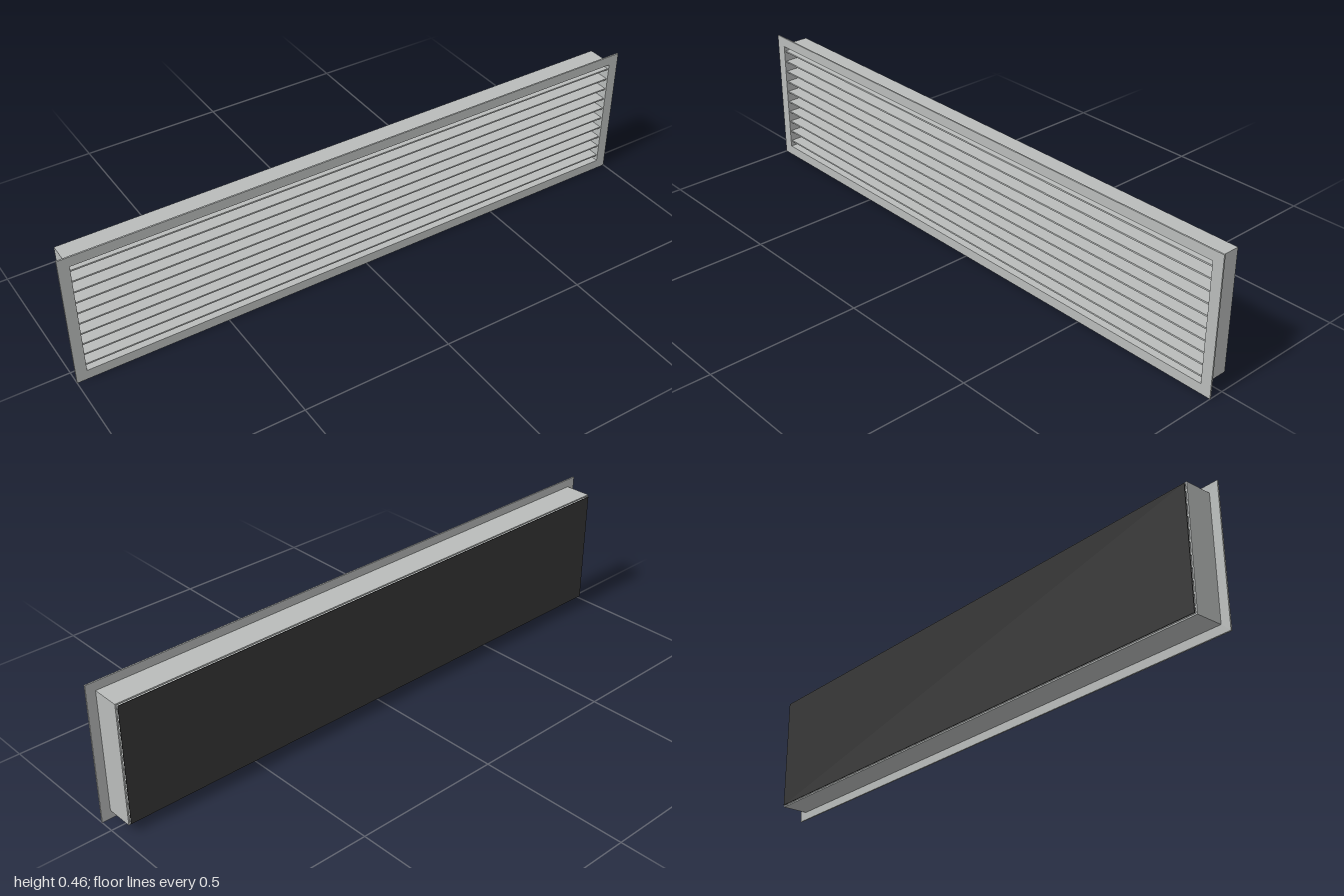
import * as THREE from 'three';

const HEIGHT = 0.457, MID = HEIGHT / 2;
const OUTER = { w: 1.94, h: 0.401 };   // duct outside
const INNER = { w: 1.93, h: 0.391 };   // duct opening
const FRONT = 0.051, FLANGE_BACK = 0.046, DUCT_BACK = -0.0455;
const SLATS = 10;

// Rectangular ring extruded from zBack to zFront
function ring(w, h, hole, zBack, zFront) {
  const rect = (T, a, b) => new T([
    new THREE.Vector2(-a / 2, -b / 2), new THREE.Vector2(a / 2, -b / 2),
    new THREE.Vector2(a / 2, b / 2), new THREE.Vector2(-a / 2, b / 2),
  ]);
  const shape = rect(THREE.Shape, w, h);
  shape.holes.push(rect(THREE.Path, hole.w, hole.h));
  const geo = new THREE.ExtrudeGeometry(shape, { depth: zFront - zBack, bevelEnabled: false });
  return geo.translate(0, MID, zBack);
}

export function createModel() {
  const metal = new THREE.MeshStandardMaterial({ color: 0xb9bcbb });
  metal.name = 'grey metal';
  const dark = new THREE.MeshStandardMaterial({ color: 0x363636 });
  dark.name = 'dark backing';

  const model = new THREE.Group();
  model.name = 'ventGrille';
  const add = (name, geo, mat, parent = model) => {
    const mesh = new THREE.Mesh(geo, mat);
    mesh.name = name;
    parent.add(mesh);
    return mesh;
  };

  // Front flange and the open duct behind it
  add('flange', ring(2, HEIGHT, INNER, FLANGE_BACK, FRONT), metal);
  add('duct', ring(OUTER.w, OUTER.h, INNER, DUCT_BACK, FLANGE_BACK), metal);

  // Evenly spaced horizontal slats through the duct
  const slats = new THREE.Group();
  slats.name = 'slats';
  model.add(slats);
  const pitch = INNER.h / SLATS;
  const slatGeo = new THREE.BoxGeometry(INNER.w, 0.005, FLANGE_BACK - DUCT_BACK);
  for (let i = 0; i < SLATS; i++) {
    add('slat', slatGeo, metal, slats).position.set(
      0, MID - INNER.h / 2 + (i + 0.5) * pitch, (FLANGE_BACK + DUCT_BACK) / 2);
  }

  // Dark plate just behind the duct
  add('backPlate', new THREE.BoxGeometry(INNER.w, INNER.h, 0.002), dark)
    .position.set(0, MID, -0.05);

  return model;
}
